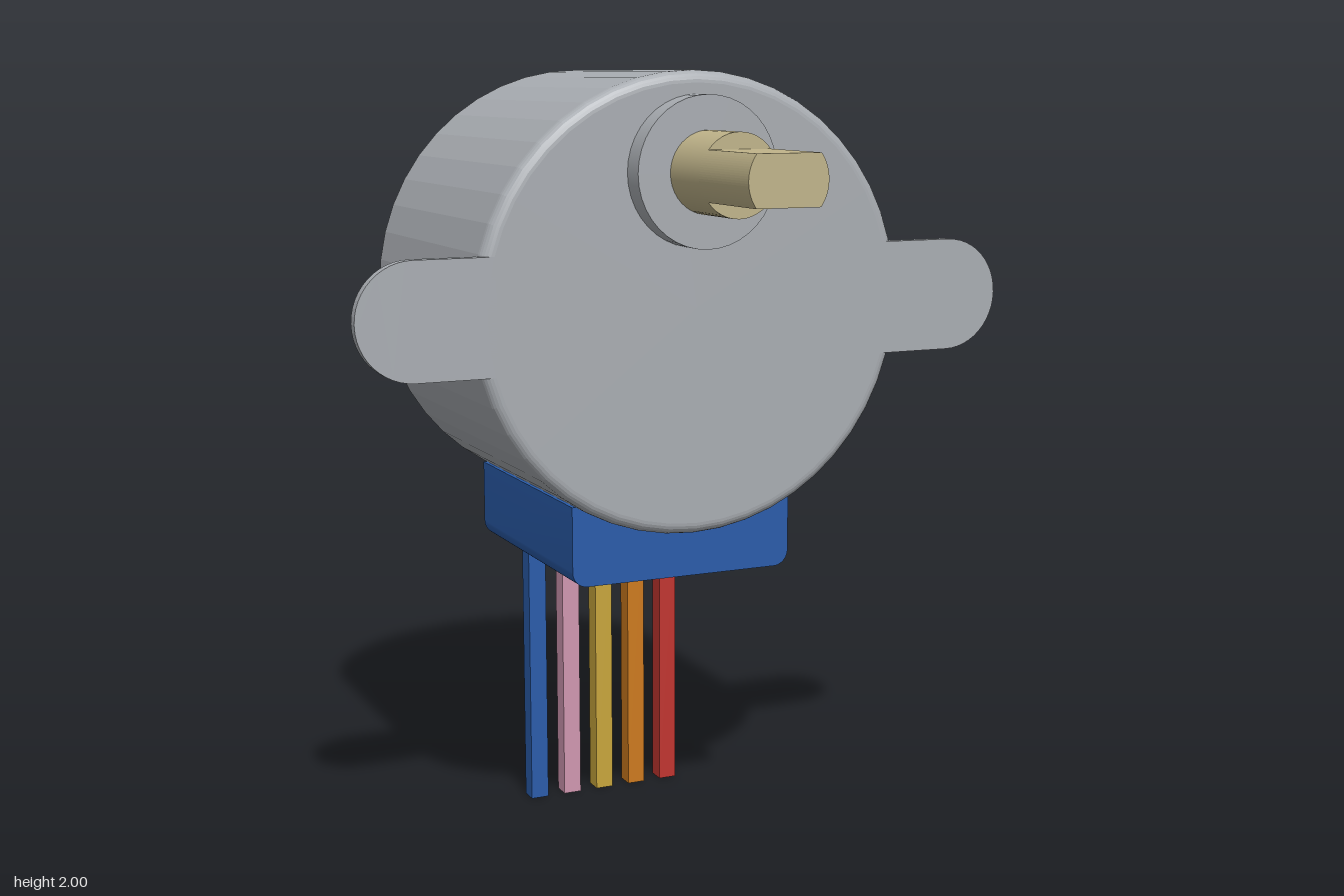
import * as THREE from 'three';
import { toCreasedNormals } from 'three/addons/utils/BufferGeometryUtils.js';

const mat = (name, color) => {
  const m = new THREE.MeshStandardMaterial({ color });
  m.name = name;
  return m;
};

export function createModel() {
  const group = new THREE.Group();
  group.name = 'gearedStepperMotor';
  const metal = mat('metal grey', 0xa9adb2);
  const brass = mat('brass', 0xc0b48a);
  const blue = mat('blue plastic', 0x2a5caa);
  const pink = mat('pink wire', 0xd097b0);
  const yellow = mat('yellow wire', 0xc8a53c);
  const orange = mat('orange wire', 0xcc7a1e);
  const red = mat('red wire', 0xc03530);

  const add = (name, geometry, material, x, y, z) => {
    const mesh = new THREE.Mesh(geometry, material);
    mesh.name = name;
    mesh.position.set(x, y, z);
    group.add(mesh);
    return mesh;
  };
  const extrude = (shape, depth, curveSegments = 12) =>
    new THREE.ExtrudeGeometry(shape, { depth, bevelEnabled: false, curveSegments });

  const bodyY = 1.433, shaftY = 1.761, R = 0.568, front = 0.152, back = -0.622;

  // Round can with a rounded front rim
  const fillet = 0.03;
  const profile = [new THREE.Vector2(0, back), new THREE.Vector2(R, back)];
  for (let i = 0; i <= 6; i++) {
    const a = (i / 6) * Math.PI / 2;
    profile.push(new THREE.Vector2(R - fillet + fillet * Math.cos(a), front - fillet + fillet * Math.sin(a)));
  }
  profile.push(new THREE.Vector2(0, front));
  const can = new THREE.LatheGeometry(profile, 48).rotateX(Math.PI / 2);
  add('motorCan', toCreasedNormals(can, 0.1), metal, 0, bodyY, 0);

  // Mounting ears, flush with the front face
  const earR = 0.142, earX = 0.715, earRoot = 0.515;
  for (const side of [1, -1]) {
    const ear = new THREE.Shape();
    ear.moveTo(earRoot, -earR);
    ear.lineTo(earX, -earR);
    ear.absarc(earX, 0, earR, -Math.PI / 2, Math.PI / 2, false);
    ear.lineTo(earRoot, earR);
    ear.closePath();
    const mesh = add(side > 0 ? 'leftEar' : 'rightEar', extrude(ear, 0.028), metal, 0, bodyY, front - 0.028);
    if (side < 0) {
      mesh.rotation.y = Math.PI;
      mesh.position.z = front;
    }
  }

  // Off-centre boss and output shaft
  const rod = (r, z0, z1) => new THREE.CylinderGeometry(r, r, z1 - z0, 40)
    .rotateX(Math.PI / 2).translate(0, 0, (z0 + z1) / 2);
  add('shaftBoss', rod(0.183, 0.1, 0.215), metal, 0, shaftY, 0);
  add('shaftBase', rod(0.1, 0.18, 0.38), brass, 0, shaftY, 0);

  // Shaft tip with two flats
  const a = Math.asin(0.6);
  const tip = new THREE.Shape();
  tip.absarc(0, 0, 0.1, -a, a, false);
  tip.absarc(0, 0, 0.1, Math.PI - a, Math.PI + a, false);
  tip.closePath();
  add('shaftTip', extrude(tip, 0.252), brass, 0, shaftY, 0.37);

  // Wire housing with rounded lower corners
  const w = 0.3, y0 = 0.74, y1 = 0.945, r = 0.04;
  const box = new THREE.Shape();
  box.moveTo(-w, y1);
  box.lineTo(-w, y0 + r);
  box.absarc(-w + r, y0 + r, r, Math.PI, Math.PI * 1.5, false);
  box.lineTo(w - r, y0);
  box.absarc(w - r, y0 + r, r, -Math.PI / 2, 0, false);
  box.lineTo(w, y1);
  box.closePath();
  add('wireHousing', toCreasedNormals(extrude(box, 0.652, 6), 0.5), blue, 0, 0, -0.58);

  // Five square wires
  [blue, pink, yellow, orange, red].forEach((material, i) => {
    add(material === blue ? 'blueWire' : material.name.replace(' wire', 'Wire'),
      new THREE.BoxGeometry(0.049, 0.76, 0.049), material, (i - 2) * 0.098, 0.38, -0.475);
  });

  return group;
}
